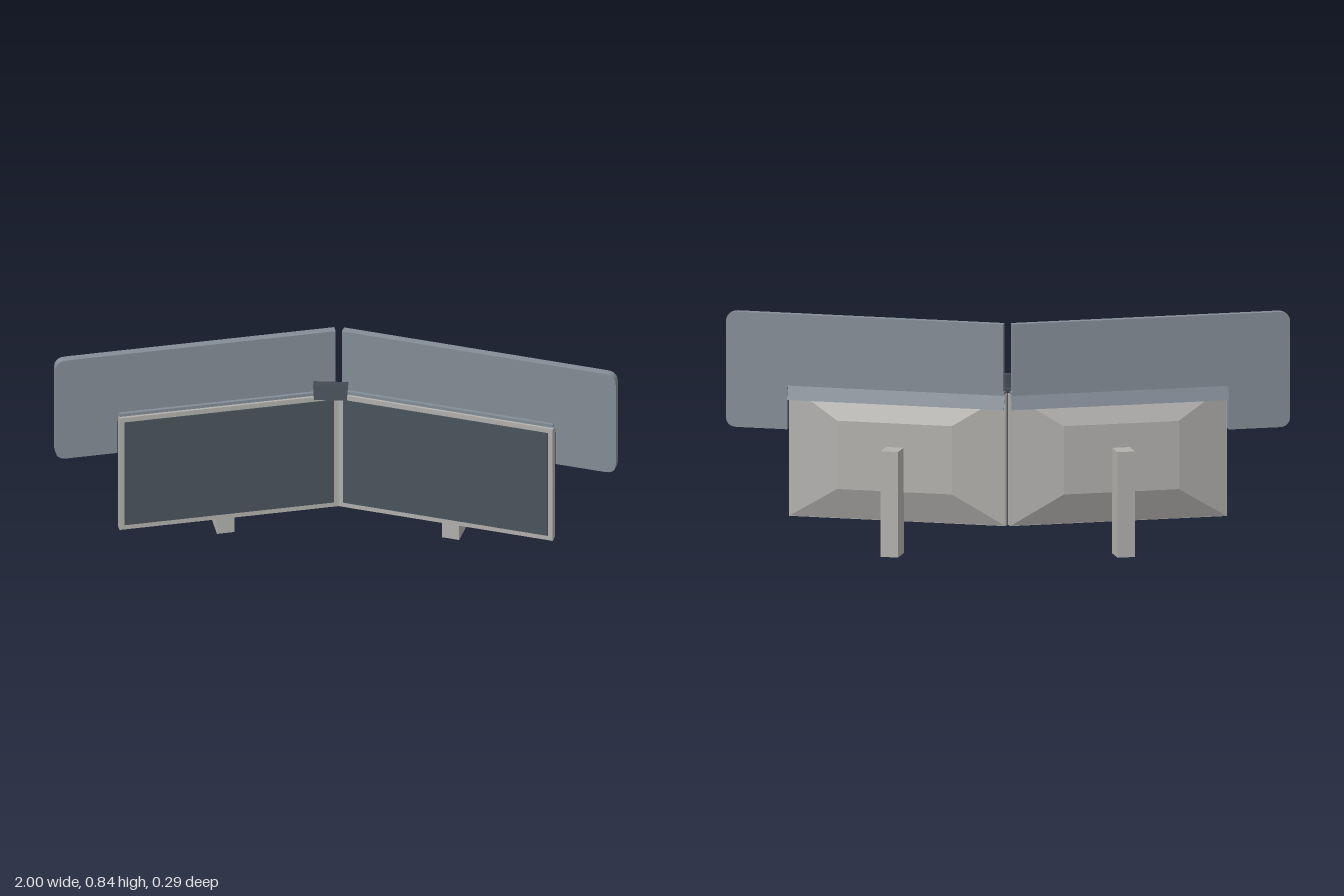
import * as THREE from 'three';

const mat = (name, color, extra = {}) => {
  const m = new THREE.MeshStandardMaterial({ color, ...extra });
  m.name = name;
  return m;
};

export function createModel() {
  const model = new THREE.Group();
  model.name = 'twinScreens';
  const slate = mat('slate panel', 0x848d97);
  const grey = mat('grey casing', 0xb2b1ae);
  const glass = mat('dark screen', 0x4a555d);
  const dark = mat('dark camera', 0x434b53);
  const ANGLE = 0.2403;

  const add = (parent, name, geo, material) => {
    const m = new THREE.Mesh(geo, material);
    m.name = name;
    parent.add(m);
    return m;
  };
  // Box given by its ranges along each axis
  const box = (x0, x1, y0, y1, z0, z1) =>
    new THREE.BoxGeometry(x1 - x0, y1 - y0, z1 - z0)
      .translate((x0 + x1) / 2, (y0 + y1) / 2, (z0 + z1) / 2);
  // Moves the vertices of a geometry by a rule
  const reshape = (geo, rule) => {
    const p = geo.attributes.position, v = new THREE.Vector3();
    for (let i = 0; i < p.count; i++) {
      rule(v.fromBufferAttribute(p, i));
      p.setXYZ(i, v.x, v.y, v.z);
    }
    geo.computeVertexNormals();
    return geo;
  };

  for (const s of [1, -1]) {
    const wing = new THREE.Group();
    wing.name = s > 0 ? 'leftWing' : 'rightWing';
    wing.position.z = -0.127;
    wing.rotation.y = -s * ANGLE;
    model.add(wing);
    const ranged = (u0, u1, ...rest) =>
      s > 0 ? box(u0, u1, ...rest) : box(-u1, -u0, ...rest);

    // Backing panel: strip above the screen with an ear hanging down outside it
    const r = 0.04, out = 1.029, top = 0.838, low = 0.422;
    const shape = new THREE.Shape();
    shape.moveTo(s * 0.018, 0.575);
    shape.lineTo(s * 0.806, 0.575);
    shape.lineTo(s * 0.806, low);
    shape.lineTo(s * (out - r), low);
    shape.quadraticCurveTo(s * out, low, s * out, low + r);
    shape.lineTo(s * out, top - r);
    shape.quadraticCurveTo(s * out, top, s * (out - r), top);
    shape.lineTo(s * 0.018, top);
    shape.closePath();
    add(wing, 'backPanel', new THREE.ExtrudeGeometry(shape,
      { depth: 0.027, bevelEnabled: false, curveSegments: 6 }), slate);

    // Ledge over the casing and the slanted flap behind it
    add(wing, 'ledge', ranged(0.014, 0.8, 0.581, 0.593, 0.002, 0.038), slate);
    const flap = reshape(ranged(0.012, 0.802, 0.531, 0.58, 0, 0.004),
      (v) => { v.z += (v.y - 0.58) * 0.3; });
    add(wing, 'rearFlap', flap, slate);

    // Screen casing with a tapered back
    add(wing, 'casing', ranged(0.012, 0.802, 0.107, 0.581, 0.016, 0.047), grey);
    const bulge = reshape(ranged(0.012, 0.802, 0.107, 0.581, -0.027, 0.0165), (v) => {
      if (v.z > 0) return;
      v.x = s * 0.407 + (v.x - s * 0.407) * 0.53;
      v.y = 0.344 + (v.y - 0.344) * 0.52;
    });
    add(wing, 'casingBack', bulge, grey);
    add(wing, 'screen', ranged(0.028, 0.784, 0.126, 0.562, 0.046, 0.049), glass);

    // Support post
    add(wing, 'post', ranged(0.374, 0.437, 0, 0.381, -0.108, -0.02), grey);
  }

  // Small camera with sloping front, on a thin mount
  const cam = new THREE.Group();
  cam.name = 'camera';
  model.add(cam);
  const body = reshape(box(-0.088, 0.036, 0.597, 0.645, -0.064, -0.016), (v) => {
    if (v.y > 0.62 && v.z > -0.04) v.z -= 0.014;
    if (v.y < 0.62) v.x = -0.026 + (v.x + 0.026) * 0.94;
  });
  add(cam, 'cameraBody', body, dark);
  add(cam, 'cameraMount', box(-0.075, 0.022, 0.588, 0.598, -0.1, -0.03), dark);

  return model;
}
